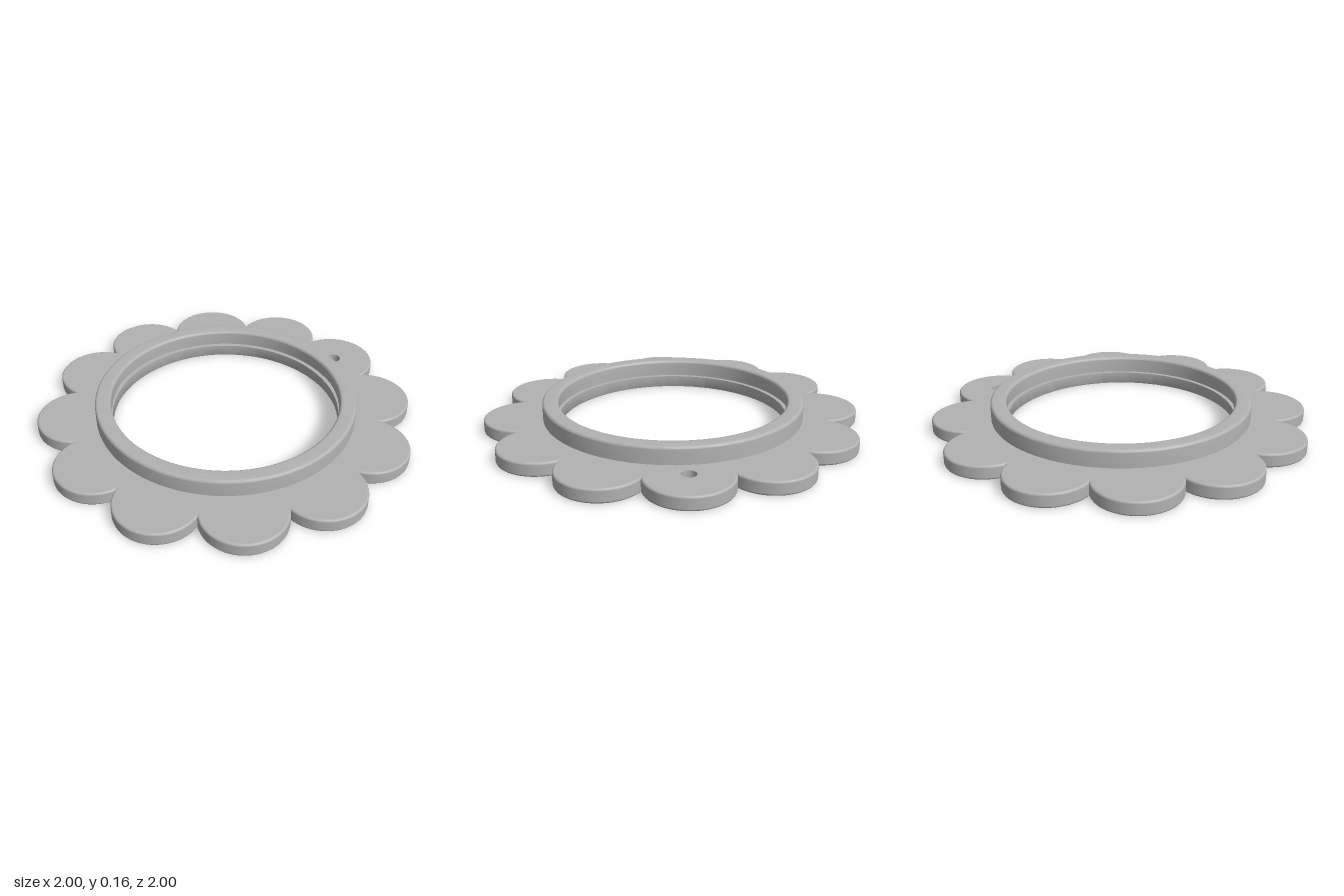
import * as THREE from 'three';
import { toCreasedNormals } from 'three/addons/utils/BufferGeometryUtils.js';

const PETALS = 12, STEP = Math.PI / PETALS;
const R = 0.217, D = 1 - R;          // petal radius and distance of its centre
const H = 0.073, F = 0.012;          // plate height and edge rounding
const SEG = 28;

// Point on the rim of petal k at t = 0..1 with the rim moved inward; also returns its direction
function rimPoint(k, t, inset) {
  const r = R - inset;
  const half = STEP + Math.PI / 2 - Math.acos((D * Math.sin(STEP)) / r);
  const mid = k * 2 * STEP, dir = mid + (2 * t - 1) * half;
  return { x: D * Math.cos(mid) + r * Math.cos(dir), y: D * Math.sin(mid) + r * Math.sin(dir), dir };
}

// Flat flower face with the large opening and the small hanging hole
function flowerFace(opening, holeY) {
  const pts = [];
  for (let k = 0; k < PETALS; k++)
    for (let i = 0; i < SEG; i++) {
      const p = rimPoint(k, i / SEG, F);
      pts.push(new THREE.Vector2(p.x, p.y));
    }
  const shape = new THREE.Shape(pts);
  shape.holes.push(
    new THREE.Path().absarc(0, 0, opening, 0, Math.PI * 2, true),
    new THREE.Path().absarc(0, holeY, 0.037, 0, Math.PI * 2, true));
  return new THREE.ShapeGeometry(shape, 48);
}

// Rounded outer wall of one petal
function petalRim(k) {
  const rows = [];
  for (let j = 0; j <= 8; j++) {
    const low = j < 4.5, n = low ? j : j - 5;
    const a = low ? -Math.PI / 2 + (n * Math.PI) / 8 : (n + 1) * Math.PI / 8;
    rows.push({ a, inset: F * (1 - Math.cos(a)), y: (low ? F : H - F) + F * Math.sin(a) });
  }
  rows.splice(5, 0, { a: 0, inset: 0, y: H - F });
  const pos = [], nor = [], idx = [], w = SEG + 1;
  rows.forEach((row, j) => {
    for (let i = 0; i <= SEG; i++) {
      const p = rimPoint(k, i / SEG, row.inset), c = Math.cos(row.a);
      pos.push(p.x, row.y, -p.y);
      nor.push(c * Math.cos(p.dir), Math.sin(row.a), -c * Math.sin(p.dir));
      if (j && i) {
        const b = j * w + i, a = b - w;
        idx.push(a - 1, a, b, a - 1, b, b - 1);
      }
    }
  });
  const g = new THREE.BufferGeometry();
  g.setAttribute('position', new THREE.Float32BufferAttribute(pos, 3));
  g.setAttribute('normal', new THREE.Float32BufferAttribute(nor, 3));
  g.setIndex(idx);
  return g;
}

// Raised ring: outer wall, rounded top, inner wall with a groove
function ringGeometry() {
  const top = 0.163, f = 0.015, out = 0.69, inn = 0.605;
  const pts = [[out, 0.06], [out, top - f - 0.003]];
  for (let i = 0; i <= 4; i++) {
    const a = (i * Math.PI) / 8;
    pts.push([out - f + f * Math.cos(a), top - f + f * Math.sin(a)]);
  }
  pts.push([out - f - 0.003, top], [inn + f + 0.003, top]);
  for (let i = 0; i <= 4; i++) {
    const a = (i * Math.PI) / 8;
    pts.push([inn + f - f * Math.sin(a), top - f + f * Math.cos(a)]);
  }
  pts.push([inn, top - f - 0.003], [inn, 0.1], [0.628, 0.1], [0.628, 0.066], [inn, 0.066], [inn, 0.01], [0.61, 0]);
  const g = new THREE.LatheGeometry(pts.map(p => new THREE.Vector2(...p)), 96);
  return toCreasedNormals(g, 0.5);
}

export function createModel() {
  const grey = new THREE.MeshStandardMaterial({ color: 0xb2b2b2 });
  grey.name = 'grey';
  const model = new THREE.Group();
  model.name = 'flowerRing';
  const add = (name, geometry, parent = model) => {
    const m = new THREE.Mesh(geometry, grey);
    m.name = name;
    parent.add(m);
    return m;
  };

  // Scalloped plate
  const plate = new THREE.Group();
  plate.name = 'flowerPlate';
  model.add(plate);
  add('plateTop', flowerFace(0.66, D).rotateX(-Math.PI / 2).translate(0, H, 0), plate);
  add('plateUnderside', flowerFace(0.61, -D).rotateX(Math.PI / 2), plate);
  for (let k = 0; k < PETALS; k++) add('petalRim' + (k + 1), petalRim(k), plate);

  // Wall of the hanging hole, facing inward
  const wall = new THREE.LatheGeometry([new THREE.Vector2(0.037, H), new THREE.Vector2(0.037, 0)], 48);
  add('hangingHole', wall.translate(0, 0, -D), plate);

  add('raisedRing', ringGeometry());
  return model;
}
